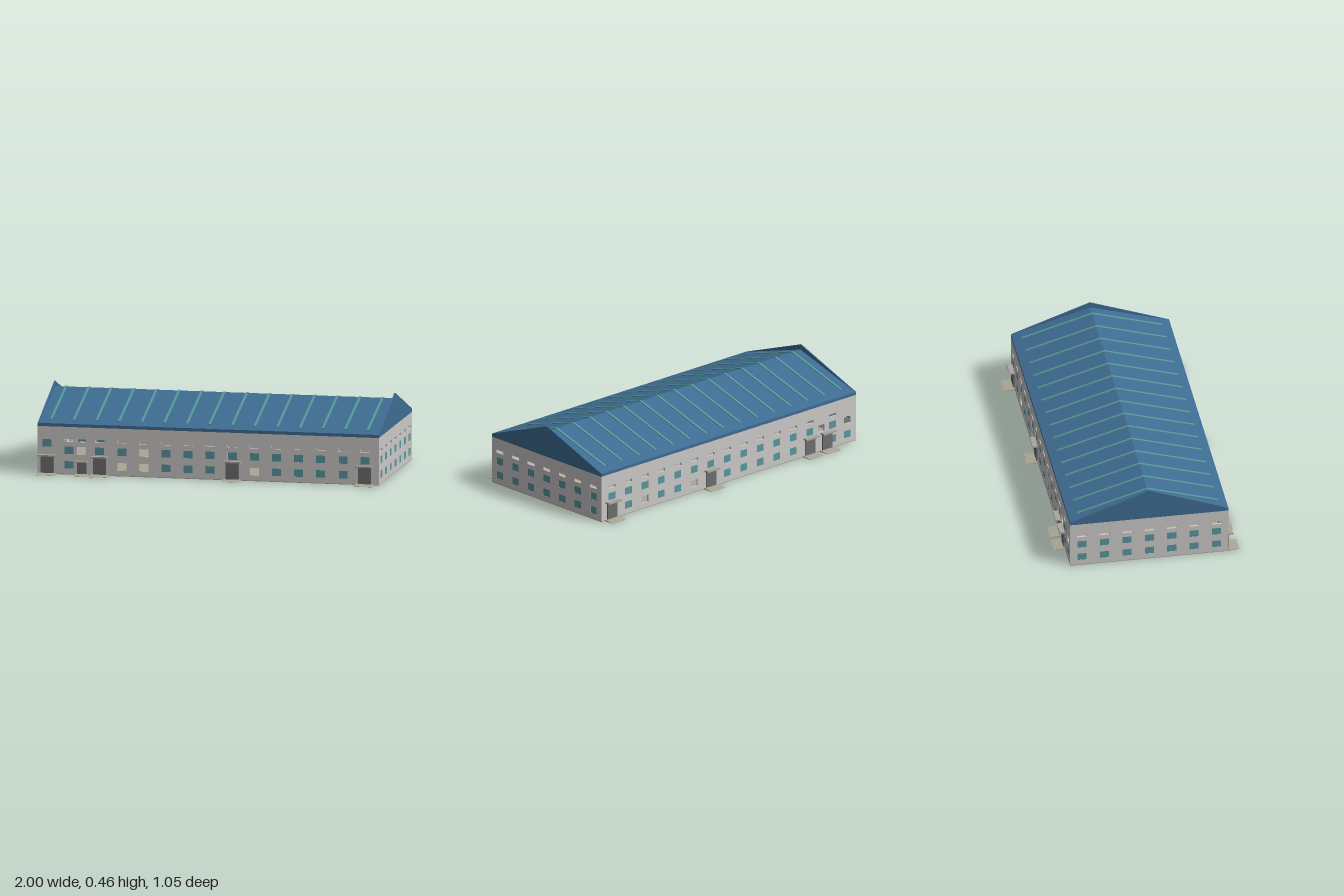
import * as THREE from 'three';

const mat = (name, color) => Object.assign(new THREE.MeshStandardMaterial({ color }), { name });

const HALF_X = 1, HALF_Z = 0.46, WALL_H = 0.277, T = 0.012, FLOOR = 0.004;

export function createModel() {
  const wallMat = mat('wall plaster', 0xcdc9c9);
  const roofMat = mat('roof blue', 0x406d93);
  const ribMat = mat('rib teal', 0x559a9c);
  const glassMat = mat('window teal', 0x58979d);
  const doorMat = mat('door grey', 0x6e6e6e);
  const canopyMat = mat('canopy grey', 0xaaa69f);
  const stoneMat = mat('floor stone', 0xaaa796);

  const model = new THREE.Group();
  model.name = 'longHall';

  const add = (parent, name, geo, material, x = 0, y = 0, z = 0) => {
    const mesh = new THREE.Mesh(geo, material);
    mesh.name = name;
    mesh.position.set(x, y, z);
    parent.add(mesh);
    return mesh;
  };
  const box = (parent, name, material, w, h, d, x, y, z) =>
    add(parent, name, new THREE.BoxGeometry(w, h, d), material, x, y, z);

  // Extrudes a (z, y) profile along x, centred on x = 0
  const alongX = (points, length) => {
    const shape = new THREE.Shape(points.map(([z, y]) => new THREE.Vector2(-z, y)));
    const geo = new THREE.ExtrudeGeometry(shape, { depth: length, bevelEnabled: false });
    return geo.translate(0, 0, -length / 2).rotateY(Math.PI / 2);
  };

  // Wall facing local +z with its outer face at z = 0; openings are { x, y, w, h, glazed }
  function makeWall(name, length, openings) {
    const wall = new THREE.Group();
    wall.name = name;
    const rect = (P, x0, y0, x1, y1) => {
      const p = new P();
      p.moveTo(x0, y0).lineTo(x1, y0).lineTo(x1, y1).lineTo(x0, y1).closePath();
      return p;
    };
    const shape = rect(THREE.Shape, -length / 2, FLOOR, length / 2, WALL_H);
    for (const { x, y, w, h, glazed } of openings) {
      shape.holes.push(rect(THREE.Path, x - w / 2, y - h / 2, x + w / 2, y + h / 2));
      if (glazed) box(wall, 'windowPane', glassMat, w, h, 0.006, x, y, -0.004);
    }
    const geo = new THREE.ExtrudeGeometry(shape, { depth: T, bevelEnabled: false });
    add(wall, name + 'Panel', geo, wallMat, 0, 0, -T);
    model.add(wall);
    return wall;
  }

  const upper = (x, glazed = true) => ({ x, y: 0.141, w: 0.053, h: 0.043, glazed });
  const lower = (x, glazed = true) => ({ x, y: 0.056, w: 0.053, h: 0.043, glazed });
  const vent = (x) => ({ x, y: 0.199, w: 0.056, h: 0.017, glazed: false });

  // Doorway with leaf, canopy and sloping doorstep
  function addDoor(wall, x, small = false) {
    const door = new THREE.Group();
    door.name = 'doorway';
    door.position.x = x;
    const w = small ? 0.053 : 0.076, h = small ? 0.073 : 0.103;
    box(door, 'doorLeaf', doorMat, w, h - FLOOR, 0.006, 0, (h + FLOOR) / 2, 0.003);
    const cw = small ? 0.07 : 0.1;
    box(door, 'canopy', canopyMat, cw, 0.009, 0.03, 0, h + 0.006, 0.015);
    const step = [[0, 0], [0.065, 0], [0.065, 0.001], [0, 0.007]];
    add(door, 'doorstep', alongX(step.reverse(), small ? 0.078 : 0.107), stoneMat);
    wall.add(door);
  }

  // Regular window columns of the long sides
  const columns = [-0.815];
  for (let i = 0; i < 13; i++) columns.push(-0.636 + i * 0.1295);
  const near = (list, x) => list.some((v) => Math.abs(v - x) < 0.03);

  function longSide(name, sign, doors, openUpper, openLower, extra) {
    const list = [...extra];
    for (const x of columns) {
      list.push(vent(x), upper(x, !near(openUpper, x)));
      if (!near(doors.map((d) => d[0]), x)) list.push(lower(x, !near(openLower, x)));
    }
    const wall = makeWall(name, 2 * HALF_X, list.map((o) => ({ ...o, x: o.x * sign })));
    wall.position.z = HALF_Z * sign;
    if (sign < 0) wall.rotation.y = Math.PI;
    for (const [x, small] of doors) addDoor(wall, x * sign, small);
  }

  longSide('frontWall', 1,
    [[-0.943], [-0.74, true], [-0.636], [0.142], [0.917]],
    [-0.377], [-0.508, -0.377, 0.273],
    [{ ...upper(-0.944), y: 0.18 }, vent(-0.743), upper(-0.743, false)]);
  longSide('backWall', -1,
    [[-0.77], [-0.636], [0.142], [0.917]],
    [], [0.273, 0.666],
    [upper(-0.93, false), lower(-0.93), upper(-0.725, false)]);

  // End walls with seven columns each
  for (const side of [1, -1]) {
    const list = [];
    for (let i = -3; i <= 3; i++) list.push(vent(i * 0.1305), upper(i * 0.1305), lower(i * 0.1305));
    const wall = makeWall(side > 0 ? 'leftEndWall' : 'rightEndWall', 2 * (HALF_Z - T), list);
    wall.position.x = HALF_X * side;
    wall.rotation.y = (Math.PI / 2) * side;
  }

  box(model, 'floor', stoneMat, 2 * HALF_X, FLOOR, 2 * HALF_Z, 0, FLOOR / 2, 0);

  // Roof, and the slightly taller gable at each end
  const EAVE = 0.295, RIDGE = 0.432;
  const gable = (ridge) => [
    [HALF_Z, WALL_H], [HALF_Z, EAVE], [0, ridge], [-HALF_Z, EAVE], [-HALF_Z, WALL_H],
  ];
  const END = 0.007;
  add(model, 'roof', alongX(gable(RIDGE), 2 * (HALF_X - END)), roofMat);
  for (const side of [1, -1]) {
    add(model, 'gableEnd', alongX(gable(0.463), END), roofMat, side * (HALF_X - END / 2));
  }

  // Raised ribs running up both slopes
  const slope = (RIDGE - EAVE) / HALF_Z;
  const low = RIDGE - slope * 0.41;
  const rib = [
    [0.41, low], [0.41, low + 0.004], [0, RIDGE + 0.004],
    [-0.41, low + 0.004], [-0.41, low], [0, RIDGE - 0.002],
  ];
  const ribGeo = alongX(rib, 0.014);
  for (let i = 0; i < 15; i++) add(model, 'roofRib', ribGeo, ribMat, -0.93 + i * 0.1325);

  return model;
}
